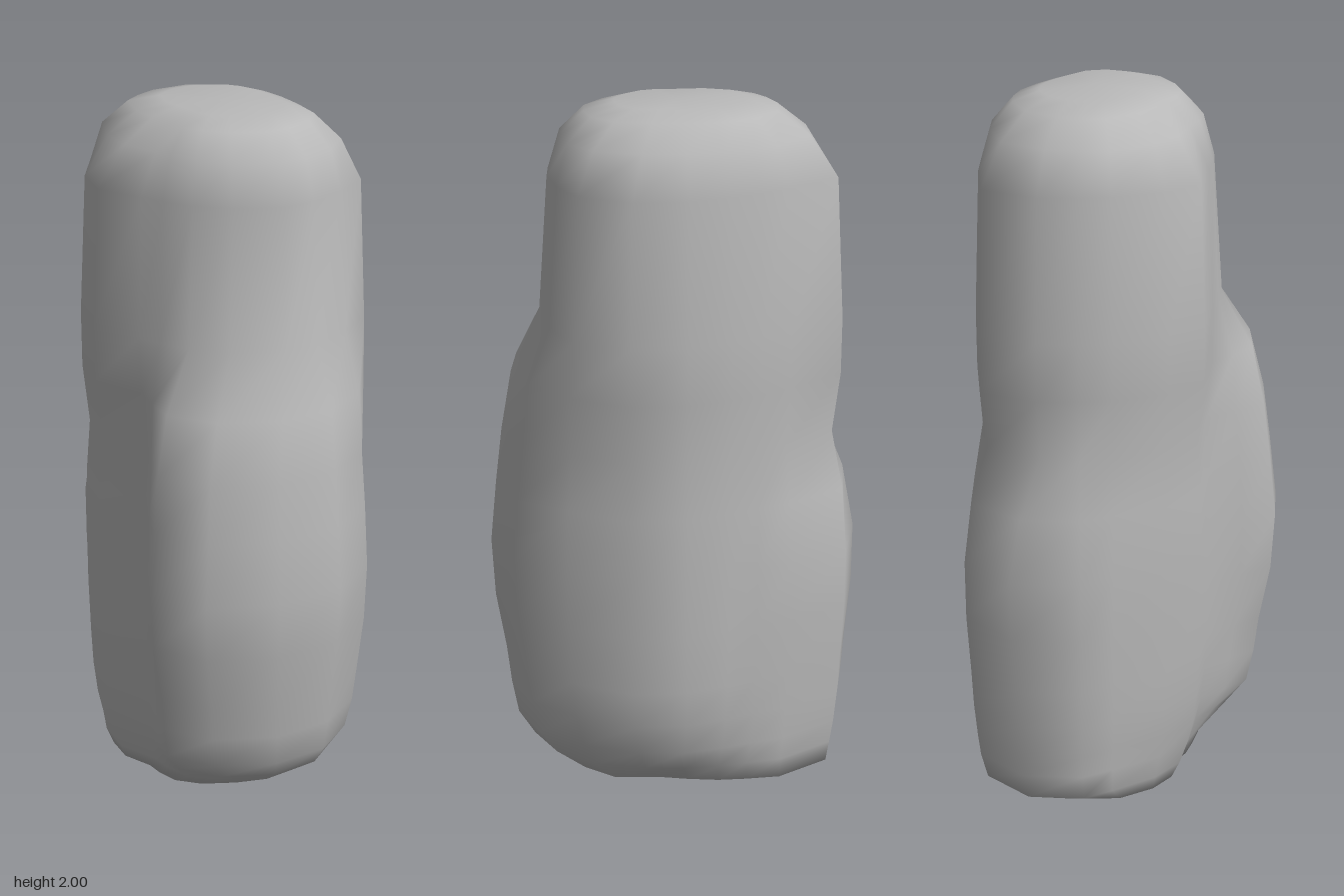
import * as THREE from 'three';

// Plan outline of the pillar:
// [column x, z, bulged x, z, bulge group, corner rounding at the crown, at the foot]
const OUTLINE = [
  [0.385, -0.13, 0.40, -0.10, 'f', 0.5, 0.6], [0.365, 0, 0.47, 0.06, 'f', 0, 0.25],
  [0.32, 0.11, 0.44, 0.22, 'f', 0, 0], [0.26, 0.19, 0.31, 0.37, 'f', 0, 0],
  [0.13, 0.245, 0.13, 0.455, 'f', 0, 0], [0.02, 0.26, -0.04, 0.435, 'f', 0, 0],
  [-0.07, 0.25, -0.085, 0.335, 'f', 0.2, 0.1], [-0.14, 0.232, -0.13, 0.235, 'f', 0.6, 0.2],
  [-0.285, 0.2, -0.285, 0.2, 'b', 1, 0.25], [-0.365, 0.1, -0.365, 0.1, 'b', 0.6, 0.15],
  [-0.41, -0.05, -0.42, -0.05, 'b', 0, 0], [-0.41, -0.14, -0.47, -0.14, 'b', 0.1, 0],
  [-0.405, -0.25, -0.45, -0.33, 'b', 0.4, 0], [-0.32, -0.40, -0.31, -0.455, 'b', 0.7, 0],
  [-0.13, -0.41, -0.12, -0.44, 'b', 0.1, 0], [-0.03, -0.405, -0.03, -0.405, 'b', 0.1, 0.2],
  [0.06, -0.39, 0.06, -0.39, 'b', 0.3, 0.5], [0.18, -0.355, 0.18, -0.355, 'b', 0.8, 0.85],
  [0.305, -0.27, 0.305, -0.27, 'b', 1, 1],
];

// Levels from the ground up: scale, front bulge, back bulge,
// crown rounding, foot rounding, shift in x and z
const LEVELS = [
  { y: 0, s: 0.7, f: 0.1, b: 0, foot: 0.42, dx: -0.07, dz: 0.03 },
  { y: 0.05, s: 0.9, f: 0.08, b: 0.8, foot: 0.38, dx: -0.02 },
  { y: 0.12, s: 0.95, f: 0.42, b: 0.8, foot: 0.23 },
  { y: 0.19, s: 0.97, f: 0.66, b: 0.8, foot: 0.12 },
  { y: 0.29, s: 0.985, f: 0.73, b: 0.85, foot: 0.04 },
  { y: 0.4, s: 0.99, f: 0.79, b: 0.9 },
  { y: 0.57, s: 1, f: 0.93, b: 1 },
  { y: 0.74, s: 1, f: 0.98, b: 1 },
  { y: 0.92, s: 0.99, f: 0.9, b: 0.65 },
  { y: 1.08, s: 0.97, f: 0.84, b: 0, crown: 0.02 },
  { y: 1.25, s: 1, f: 0.56, b: 0 },
  { y: 1.41, s: 1, f: 0.06, b: 0 },
  { y: 1.8, s: 0.95, f: 0, b: 0 },
  { y: 1.91, s: 0.86, f: 0, b: 0, crown: 0.13 },
  { y: 1.975, s: 0.68, f: 0, b: 0, crown: 0.2 },
  { y: 1.997, s: 0.46, f: 0, b: 0, crown: 0.22 },
];
const AXIS_Z = -0.08;

function pillarGeometry() {
  const positions = [];
  const index = [];
  const n = OUTLINE.length;

  // One ring of points per level
  for (const { y, s, f, b, crown = 0, foot = 0, dx = 0, dz = 0 } of LEVELS) {
    for (const [cx, cz, bx, bz, group, crownCut, footCut] of OUTLINE) {
      const w = group === 'f' ? f : b;
      const x = THREE.MathUtils.lerp(cx, bx, w);
      const z = THREE.MathUtils.lerp(cz, bz, w);
      const k = s * (1 - crown * crownCut - foot * footCut);
      positions.push(x * k + dx, y, AXIS_Z + (z - AXIS_Z) * k + dz);
    }
  }

  // Sides
  for (let l = 0; l < LEVELS.length - 1; l++) {
    for (let i = 0; i < n; i++) {
      const a = l * n + i;
      const b = l * n + (i + 1) % n;
      index.push(a, a + n, b, b, a + n, b + n);
    }
  }

  // Underside and top, closed to a centre point
  const bottom = positions.length / 3;
  positions.push(-0.09, 0, -0.03, 0, 2, AXIS_Z);
  const last = (LEVELS.length - 1) * n;
  for (let i = 0; i < n; i++) {
    const j = (i + 1) % n;
    index.push(bottom, i, j);
    index.push(bottom + 1, last + j, last + i);
  }

  const geometry = new THREE.BufferGeometry();
  geometry.setAttribute('position', new THREE.Float32BufferAttribute(positions, 3));
  geometry.setIndex(index);
  geometry.computeVertexNormals();
  return geometry;
}

export function createModel() {
  const stone = new THREE.MeshStandardMaterial({ color: 0xb8b8b8 });
  stone.name = 'stone grey';

  const pillar = new THREE.Mesh(pillarGeometry(), stone);
  pillar.name = 'rockPillar';

  const model = new THREE.Group();
  model.name = 'standingRock';
  model.add(pillar);
  return model;
}
